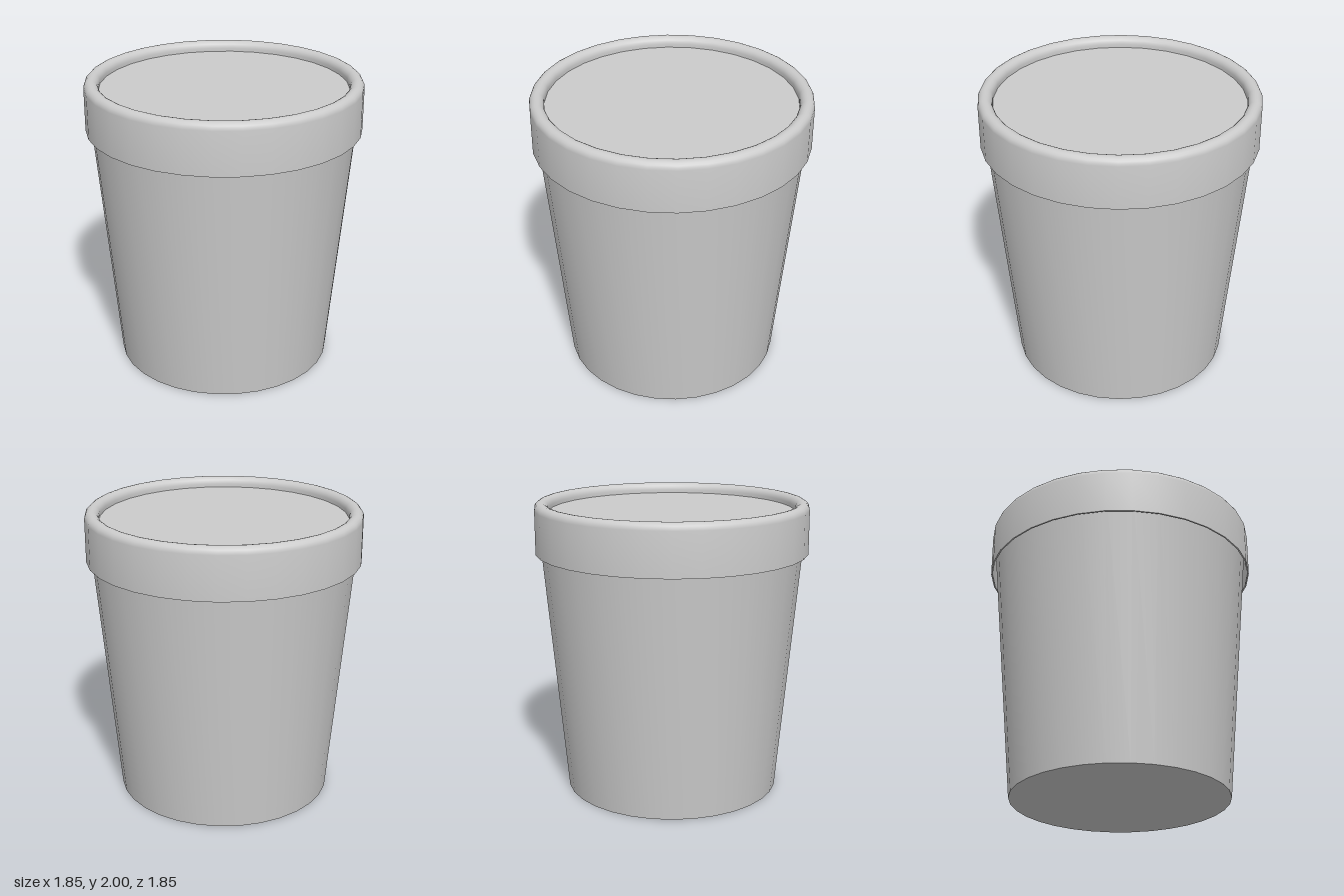
import * as THREE from 'three';
import { toCreasedNormals } from 'three/addons/utils/BufferGeometryUtils.js';

const SIDES = 32;

// Turn a profile of [radius, height] pairs around the y axis
function turned(name, profile, material) {
  const points = profile.map(([r, y]) => new THREE.Vector2(r, y));
  const geometry = toCreasedNormals(new THREE.LatheGeometry(points, SIDES), 0.8);
  const mesh = new THREE.Mesh(geometry, material);
  mesh.name = name;
  return mesh;
}

export function createModel() {
  const group = new THREE.Group();
  group.name = 'lidded tub';
  const material = new THREE.MeshStandardMaterial({ color: 0xcccccc });

  // Tapered cup with a flat base, its mouth tucked up inside the lid
  group.add(turned('cup', [[0, 0], [0.735, 0], [0.905, 1.89], [0, 1.89]], material));

  // Rounded bead along the top of the lid, from outside to inside
  const tube = 0.0475, steps = 10;
  const bead = [];
  for (let i = 0; i <= steps; i++) {
    const a = (i / steps) * Math.PI;
    bead.push([0.8775 + tube * Math.cos(a), 2 - tube + tube * Math.sin(a)]);
  }

  // Lid: thin skirt around the cup, bead, and sunken top panel
  group.add(turned('lid', [
    [0, 1.9], [0.915, 1.9], [0.915, 1.66], [0.925, 1.66],
    ...bead,
    [0.83, 1.93], [0, 1.93],
  ], material));

  return group;
}
